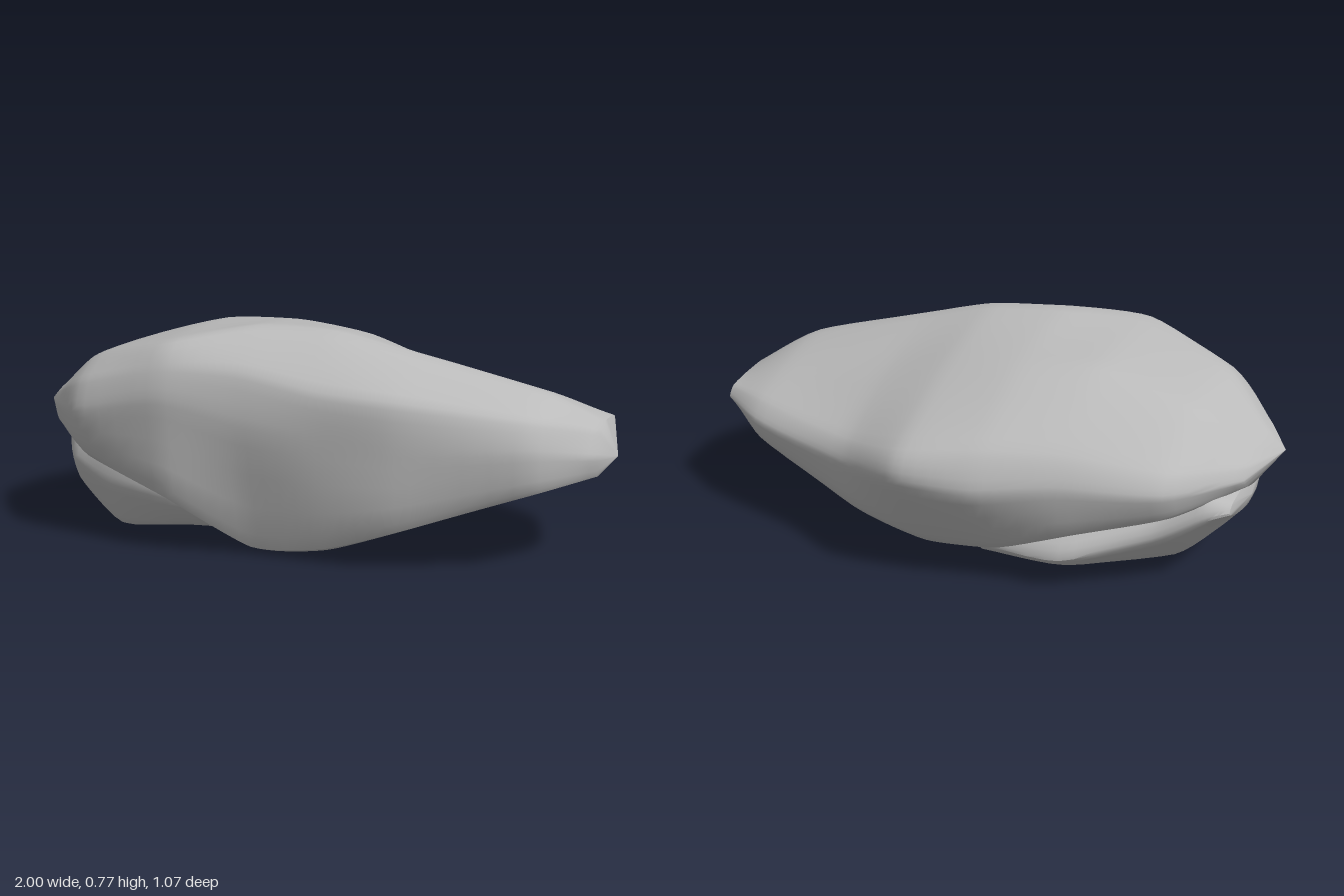
import * as THREE from 'three';
import { toCreasedNormals } from 'three/addons/utils/BufferGeometryUtils.js';

// Each rock: stations along x, and at each station a ring of (z, y) corners running
// front ridge, front, front bottom, bottom, back bottom, back, back edge, top, (crest).
const SLAB = {
  x: [-0.93, -0.74, -0.42, -0.16, 0.10, 0.36, 0.77, 0.95],
  rows: [
    [0.27, 0.48, 0.30, 0.44, 0.27, 0.37, 0.10, 0.34, -0.01, 0.37, -0.06, 0.41, -0.03, 0.45, 0.07, 0.485, 0.19, 0.50],
    [0.45, 0.57, 0.485, 0.47, 0.42, 0.30, 0.00, 0.25, -0.25, 0.33, -0.31, 0.43, -0.27, 0.50, -0.03, 0.62, 0.32, 0.635],
    [0.50, 0.65, 0.53, 0.53, 0.48, 0.20, 0.00, 0.13, -0.36, 0.24, -0.42, 0.43, -0.36, 0.54, -0.06, 0.715, 0.42, 0.725],
    [0.475, 0.65, 0.49, 0.47, 0.38, 0.025, 0.05, 0.015, -0.33, 0.12, -0.51, 0.40, -0.45, 0.54, -0.13, 0.71, 0.30, 0.768],
    [0.455, 0.60, 0.46, 0.43, 0.39, 0.05, 0.05, 0.02, -0.32, 0.08, -0.53, 0.40, -0.49, 0.51, -0.13, 0.675, 0.25, 0.755],
    [0.42, 0.575, 0.435, 0.40, 0.39, 0.14, 0.00, 0.11, -0.35, 0.17, -0.43, 0.37, -0.39, 0.45, -0.15, 0.58, 0.20, 0.69],
    [0.29, 0.52, 0.335, 0.42, 0.31, 0.28, 0.00, 0.28, -0.27, 0.31, -0.31, 0.40, -0.26, 0.46, -0.10, 0.52, 0.12, 0.578],
    [0.09, 0.45, 0.15, 0.38, 0.12, 0.31, 0.00, 0.31, -0.15, 0.36, -0.20, 0.41, -0.17, 0.445, -0.09, 0.46, 0.02, 0.47],
  ],
  ends: [[-1, 0.43, 0.19], [1, 0.36, 0.03]],
};
const FOOT = {
  x: [-0.91, -0.83, -0.68, -0.40, -0.10],
  rows: [
    [0.20, 0.33, 0.23, 0.30, 0.19, 0.26, 0.10, 0.25, 0.00, 0.27, -0.13, 0.32, -0.10, 0.35, 0.06, 0.36],
    [0.32, 0.35, 0.36, 0.27, 0.32, 0.18, 0.18, 0.155, 0.03, 0.17, -0.16, 0.29, -0.14, 0.36, 0.06, 0.38],
    [0.37, 0.34, 0.40, 0.20, 0.30, 0.03, 0.18, 0.01, 0.05, 0.02, -0.20, 0.20, -0.18, 0.28, 0.06, 0.36],
    [0.39, 0.26, 0.42, 0.17, 0.33, 0.06, 0.10, 0.045, -0.22, 0.06, -0.33, 0.13, -0.29, 0.20, 0.06, 0.30],
    [0.32, 0.12, 0.34, 0.10, 0.32, 0.07, 0.05, 0.05, -0.27, 0.07, -0.31, 0.11, -0.27, 0.16, 0.06, 0.18],
  ],
  ends: [[-0.93, 0.31, 0.06], [-0.08, 0.1, 0.05]],
};

// Skins the rows into a closed rock with softly worn corners
function rockGeometry({ x, rows, ends }, around, along) {
  const corners = [];
  for (let k = 0; k < rows[0].length; k += 2) {
    corners.push(new THREE.CatmullRomCurve3(
      rows.map((r, i) => new THREE.Vector3(x[i], r[k + 1], r[k])), false, 'catmullrom', 0.3));
  }
  const pos = [];
  const index = [];
  for (let i = 0; i <= along; i++) {
    const ring = new THREE.CatmullRomCurve3(
      corners.map((c) => c.getPoint(i / along)), true, 'catmullrom', 0.25);
    for (let j = 0; j < around; j++) {
      const p = ring.getPoint(j / around);
      // shallow dents in the weathered surface
      const dent = 0.006 * Math.sin(9 * p.x + 5 * p.z) * Math.sin(11 * p.y + 7 * p.z);
      pos.push(p.x, p.y, p.z + dent);
    }
  }
  for (let i = 0; i < along; i++) {
    for (let j = 0; j < around; j++) {
      const a = i * around + j;
      const b = i * around + (j + 1) % around;
      index.push(a, b, a + around, b, b + around, a + around);
    }
  }
  // blunt tips
  const last = along * around;
  const tip = pos.length / 3;
  pos.push(...ends[0], ...ends[1]);
  for (let j = 0; j < around; j++) {
    const next = (j + 1) % around;
    index.push(tip, next, j, tip + 1, last + j, last + next);
  }
  const geo = new THREE.BufferGeometry();
  geo.setAttribute('position', new THREE.Float32BufferAttribute(pos, 3));
  geo.setIndex(index);
  return toCreasedNormals(geo, 0.6);
}

export function createModel() {
  const stone = new THREE.MeshStandardMaterial({ color: 0xbababa });
  stone.name = 'grey stone';
  const group = new THREE.Group();
  group.name = 'boulder';

  // Main leaning slab
  const slab = new THREE.Mesh(rockGeometry(SLAB, 45, 42), stone);
  slab.name = 'mainSlab';
  // Broken block beneath its narrow end
  const foot = new THREE.Mesh(rockGeometry(FOOT, 32, 20), stone);
  foot.name = 'lowerBlock';

  group.add(slab, foot);
  return group;
}
